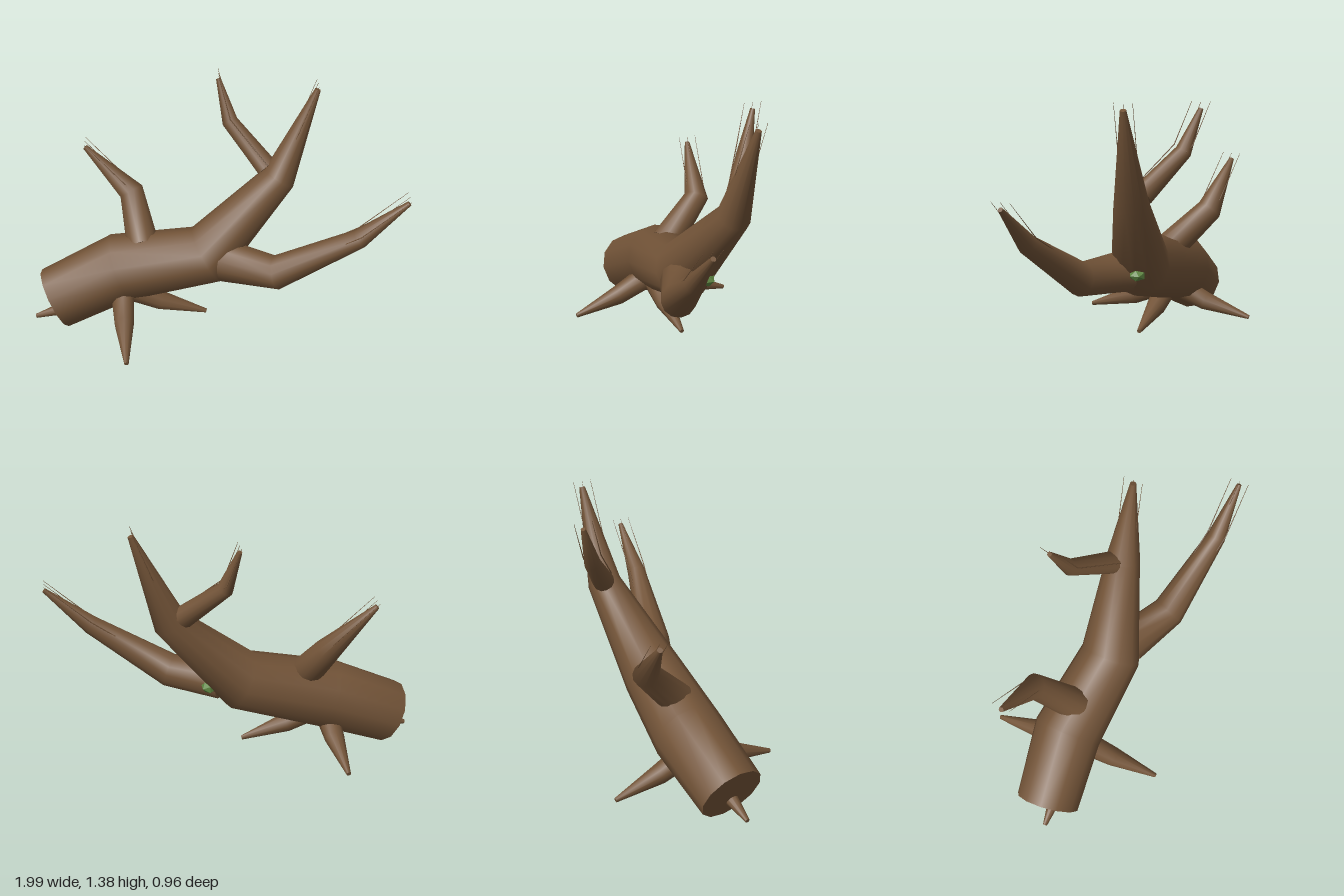
import * as THREE from 'three';

const bark = new THREE.MeshStandardMaterial({ color: 0x735438 });
bark.name = 'bark brown';
const moss = new THREE.MeshStandardMaterial({ color: 0x5c8440 });
moss.name = 'moss green';

// Tapered limb: rings [x, y, z, radius] joined by smooth sides, flat caps at both ends
function limbGeometry(rings, sides) {
  const centres = rings.map(r => new THREE.Vector3(r[0], r[1], r[2]));
  const pos = [], idx = [], n = rings.length;
  const ringPoints = centres.map((c, i) => {
    const t = new THREE.Vector3();
    if (i > 0) t.add(c.clone().sub(centres[i - 1]).normalize());
    if (i < n - 1) t.add(centres[i + 1].clone().sub(c).normalize());
    t.normalize();
    const ref = Math.abs(t.z) > 0.9 ? new THREE.Vector3(0, 1, 0) : new THREE.Vector3(0, 0, 1);
    const u = ref.addScaledVector(t, -ref.dot(t)).normalize();
    const v = t.clone().cross(u);
    return Array.from({ length: sides }, (_, k) => {
      const a = (k / sides) * Math.PI * 2;
      return c.clone().addScaledVector(u, Math.cos(a) * rings[i][3])
        .addScaledVector(v, Math.sin(a) * rings[i][3]);
    });
  });
  ringPoints.forEach(ring => ring.forEach(p => pos.push(p.x, p.y, p.z)));
  for (let i = 0; i < n - 1; i++) {
    for (let k = 0; k < sides; k++) {
      const a = i * sides + k, b = i * sides + (k + 1) % sides;
      idx.push(a, b, b + sides, a, b + sides, a + sides);
    }
  }
  // Caps get their own vertices so the rims stay sharp
  for (const i of [0, n - 1]) {
    const start = pos.length / 3;
    ringPoints[i].forEach(p => pos.push(p.x, p.y, p.z));
    for (let k = 1; k < sides - 1; k++) {
      if (i === 0) idx.push(start, start + k + 1, start + k);
      else idx.push(start, start + k, start + k + 1);
    }
  }
  const g = new THREE.BufferGeometry();
  g.setAttribute('position', new THREE.Float32BufferAttribute(pos, 3));
  g.setIndex(idx);
  g.computeVertexNormals();
  return g;
}

function addLimb(parent, name, rings, sides = 12) {
  const mesh = new THREE.Mesh(limbGeometry(rings, sides), bark);
  mesh.name = name;
  parent.add(mesh);
}

// Hair-thin twigs running alongside a limb and past its tip
function addTwigs(parent, name, rings) {
  for (const dz of [-0.05, 0, 0.05]) {
    const path = rings.map(([x, y, z], i) =>
      [x, y + 0.035, z + dz, i === rings.length - 1 ? 0.001 : 0.003]);
    addLimb(parent, name, path, 4);
  }
}

export function createModel() {
  const tree = new THREE.Group();
  tree.name = 'leaningDeadTree';

  // Trunk
  const trunk = [
    [-0.885, 0.17, -0.005, 0.175], [-0.515, 0.338, -0.05, 0.19],
    [-0.04, 0.443, -0.005, 0.168], [0.355, 0.86, -0.11, 0.092],
    [0.545, 1.358, -0.145, 0.016],
  ];
  addLimb(tree, 'trunk', trunk);
  addTwigs(tree, 'trunkTwig', trunk.slice(2));

  // Branches
  const branches = {
    frontBranch: [[0.06, 0.432, 0.05, 0.115], [0.33, 0.44, 0.185, 0.093],
      [0.745, 0.705, 0.28, 0.052], [0.985, 0.92, 0.295, 0.013]],
    lowerBackBranch: [[-0.39, 0.48, -0.05, 0.09], [-0.45, 0.7, -0.26, 0.07],
      [-0.695, 0.955, -0.31, 0.014]],
    upperBackBranch: [[0.29, 0.9, -0.145, 0.06], [0.095, 1.105, -0.295, 0.044],
      [0.035, 1.325, -0.368, 0.013]],
  };
  for (const [name, rings] of Object.entries(branches)) {
    addLimb(tree, name, rings);
    addTwigs(tree, name + 'Twig', rings);
  }

  // Four roots spreading from under the thick end
  const tips = [[-0.48, 0.475], [-0.535, -0.478], [-0.045, 0.005], [-0.995, 0.025]];
  for (const [tx, tz] of tips) {
    const at = f => [-0.51 + (tx + 0.51) * f, tz * f];
    const ring = (f, y, r) => [at(f)[0], y, at(f)[1], r];
    addLimb(tree, 'root', [ring(0.12, 0.22, 0.066), ring(0.46, 0.145, 0.054), ring(1, 0.07, 0.012)], 10);
  }

  // Moss tuft in the fork
  const tuft = new THREE.Mesh(new THREE.IcosahedronGeometry(0.045, 0), moss);
  tuft.name = 'mossTuft';
  tuft.scale.set(1, 0.75, 1.05);
  tuft.position.set(0.145, 0.44, -0.06);
  tree.add(tuft);

  return tree;
}
